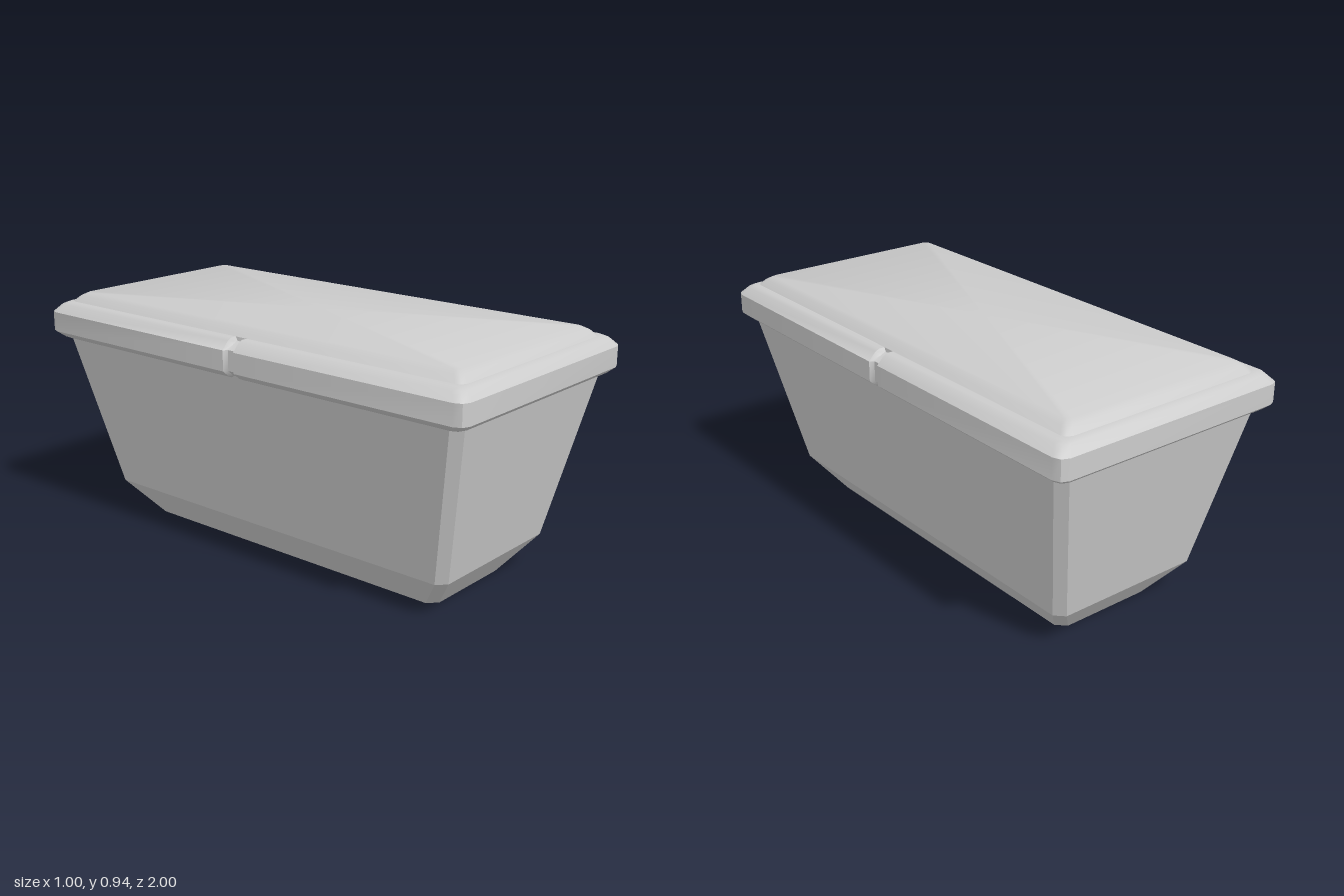
import * as THREE from 'three';
import { toCreasedNormals } from 'three/addons/utils/BufferGeometryUtils.js';

// Rectangle outline with cut or rounded corners, and optional grooves in the middle of the long sides
function ring([y, hx, hz, c], segs, groove) {
  const pts = [];
  const addGroove = (s) => {
    const { half, depth, drop } = groove;
    [[half, 0], [half * 0.6, 1], [-half * 0.6, 1], [-half, 0]].forEach(([z, k]) =>
      pts.push(new THREE.Vector3(s * (hx - k * depth), y - k * drop(y), s * z)));
  };
  for (let q = 0; q < 4; q++) {
    if (groove && q % 2 === 0) addGroove(q === 0 ? 1 : -1);
    const sx = q === 0 || q === 3 ? 1 : -1;
    const sz = q < 2 ? -1 : 1;
    for (let i = 0; i <= segs; i++) {
      const t = (q + i / segs) * Math.PI / 2;
      pts.push(new THREE.Vector3(
        sx * (hx - c) + c * Math.cos(t), y, sz * (hz - c) - c * Math.sin(t)));
    }
  }
  return pts;
}

// Closed solid through a stack of outlines; each level is [y, halfWidth, halfDepth, corner]
function loft(name, levels, segs, crease, groove) {
  const rings = levels.map((l) => ring(l, segs, groove));
  const pos = [];
  const tri = (...v) => v.forEach((p) => pos.push(p.x, p.y, p.z));
  const n = rings[0].length;
  const bottom = new THREE.Vector3(0, levels[0][0], 0);
  const top = new THREE.Vector3(0, levels[levels.length - 1][0], 0);
  for (let i = 0; i < n; i++) {
    const j = (i + 1) % n;
    for (let k = 0; k < rings.length - 1; k++) {
      const a = rings[k], b = rings[k + 1];
      tri(a[i], a[j], b[j]);
      tri(a[i], b[j], b[i]);
    }
    tri(bottom, rings[0][j], rings[0][i]);
    tri(top, rings[rings.length - 1][i], rings[rings.length - 1][j]);
  }
  const geo = new THREE.BufferGeometry();
  geo.setAttribute('position', new THREE.Float32BufferAttribute(pos, 3));
  const mesh = new THREE.Mesh(toCreasedNormals(geo, crease),
    new THREE.MeshStandardMaterial({ color: 0xcccccc }));
  mesh.name = name;
  return mesh;
}

export function createModel() {
  const model = new THREE.Group();
  model.name = 'planterBox';

  // Tapered trough with cut corners and a steeper foot
  model.add(loft('trough', [
    [0, 0.215, 0.71, 0.035],
    [0.145, 0.328, 0.825, 0.034],
    [0.77, 0.458, 0.957, 0.035],
  ], 1, 0.2));

  // Bevelled rim with a small groove halfway along each long side
  model.add(loft('rim', [
    [0.755, 0.43, 0.93, 0.03],
    [0.755, 0.458, 0.958, 0.032],
    [0.763, 0.474, 0.974, 0.036],
    [0.785, 0.5, 1, 0.04],
    [0.862, 0.5, 1, 0.04],
    [0.892, 0.472, 0.972, 0.036],
    [0.9, 0.455, 0.955, 0.032],
    [0.9, 0.425, 0.935, 0.03],
  ], 2, 0.72, { half: 0.026, depth: 0.016, drop: (y) => (y > 0.88 ? 0.014 : 0) }));

  // Raised filling with softly sloped edges
  model.add(loft('filling', [
    [0.88, 0.435, 0.95, 0.03],
    [0.9, 0.432, 0.947, 0.03],
    [0.922, 0.411, 0.924, 0.025],
    [0.935, 0.39, 0.9, 0.02],
  ], 2, 0.6));

  return model;
}
